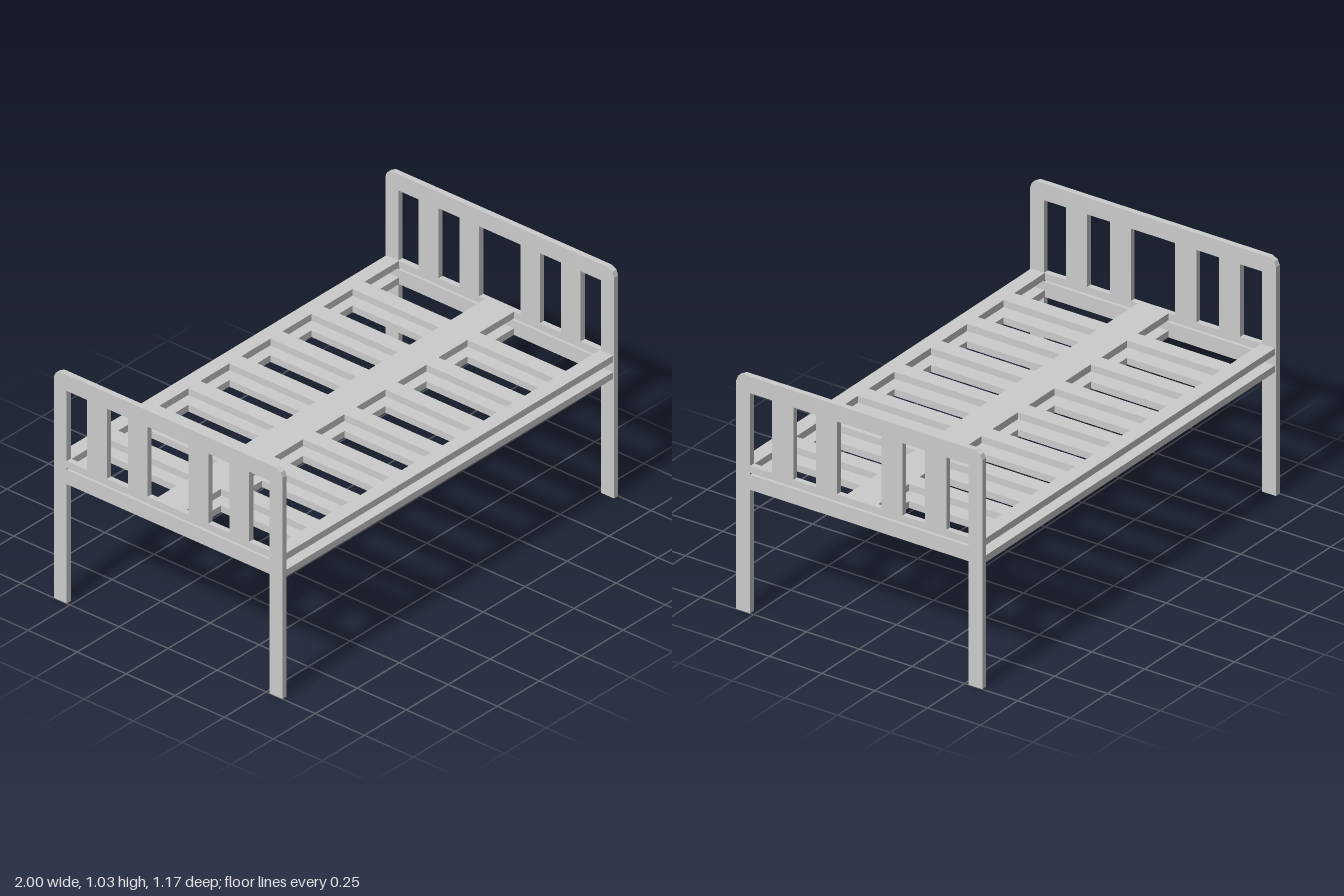
import * as THREE from 'three';

const material = new THREE.MeshStandardMaterial({ color: 0xcccccc, flatShading: true });

// Closed path through a list of [x, y] corners
function outline(points, Type = THREE.Path) {
  return new Type(points.map(([x, y]) => new THREE.Vector2(x, y)));
}

function rect(x0, y0, x1, y1) {
  return outline([[x0, y0], [x1, y0], [x1, y1], [x0, y1]]);
}

function extrude(shape, depth) {
  return new THREE.ExtrudeGeometry(shape, { depth, bevelEnabled: false });
}

// Head or foot board with legs, a lower rail, a thin slot and five windows
function endBoardGeometry() {
  const half = 0.583, inner = 0.517, top = 1.035;
  const right = [[half, 0], [half, 1.0], [0.574, 1.022], [0.55, top]];
  const left = right.map(([x, y]) => [-x, y]).reverse();
  const shape = outline([
    ...right, ...left,
    [-inner, 0], [-inner, 0.54], [inner, 0.54], [inner, 0],
  ], THREE.Shape);
  shape.holes.push(rect(-inner, 0.605, inner, 0.615));
  const windows = [[-inner, -0.413], [-0.312, -0.205], [-0.105, 0.105], [0.205, 0.312], [0.413, inner]];
  for (const [a, b] of windows) shape.holes.push(rect(a, 0.645, b, 0.962));
  return extrude(shape, 0.025).rotateY(Math.PI / 2);
}

// Bed frame: three long rails joined by seven cross slats, open at both ends
function slatFrameGeometry(thickness) {
  const end = 0.978, edge = 0.578, side = 0.513, mid = 0.073;
  const slatHalf = 0.036, pitch = 0.2445, last = 3 * pitch + slatHalf;
  const shape = outline([
    [-end, -edge], [end, -edge], [end, -side], [last, -side], [last, -mid], [end, -mid],
    [end, mid], [last, mid], [last, side], [end, side], [end, edge],
    [-end, edge], [-end, side], [-last, side], [-last, mid], [-end, mid],
    [-end, -mid], [-last, -mid], [-last, -side], [-end, -side],
  ], THREE.Shape);
  for (let i = -3; i < 3; i++) {
    const x0 = i * pitch + slatHalf, x1 = (i + 1) * pitch - slatHalf;
    shape.holes.push(rect(x0, -side, x1, -mid), rect(x0, mid, x1, side));
  }
  return extrude(shape, thickness).rotateX(-Math.PI / 2);
}

export function createModel() {
  const bed = new THREE.Group();
  bed.name = 'bed';
  const add = (name, geometry, x, y) => {
    const mesh = new THREE.Mesh(geometry, material);
    mesh.name = name;
    mesh.position.set(x, y, 0);
    bed.add(mesh);
  };

  // End boards
  const board = endBoardGeometry();
  add('headboard', board, -1, 0);
  add('footboard', board, 0.975, 0);

  // Two stacked slatted frames
  const frame = slatFrameGeometry(0.03);
  add('upperSlatFrame', frame, 0, 0.615);
  add('lowerSlatFrame', frame, 0, 0.54);

  return bed;
}
